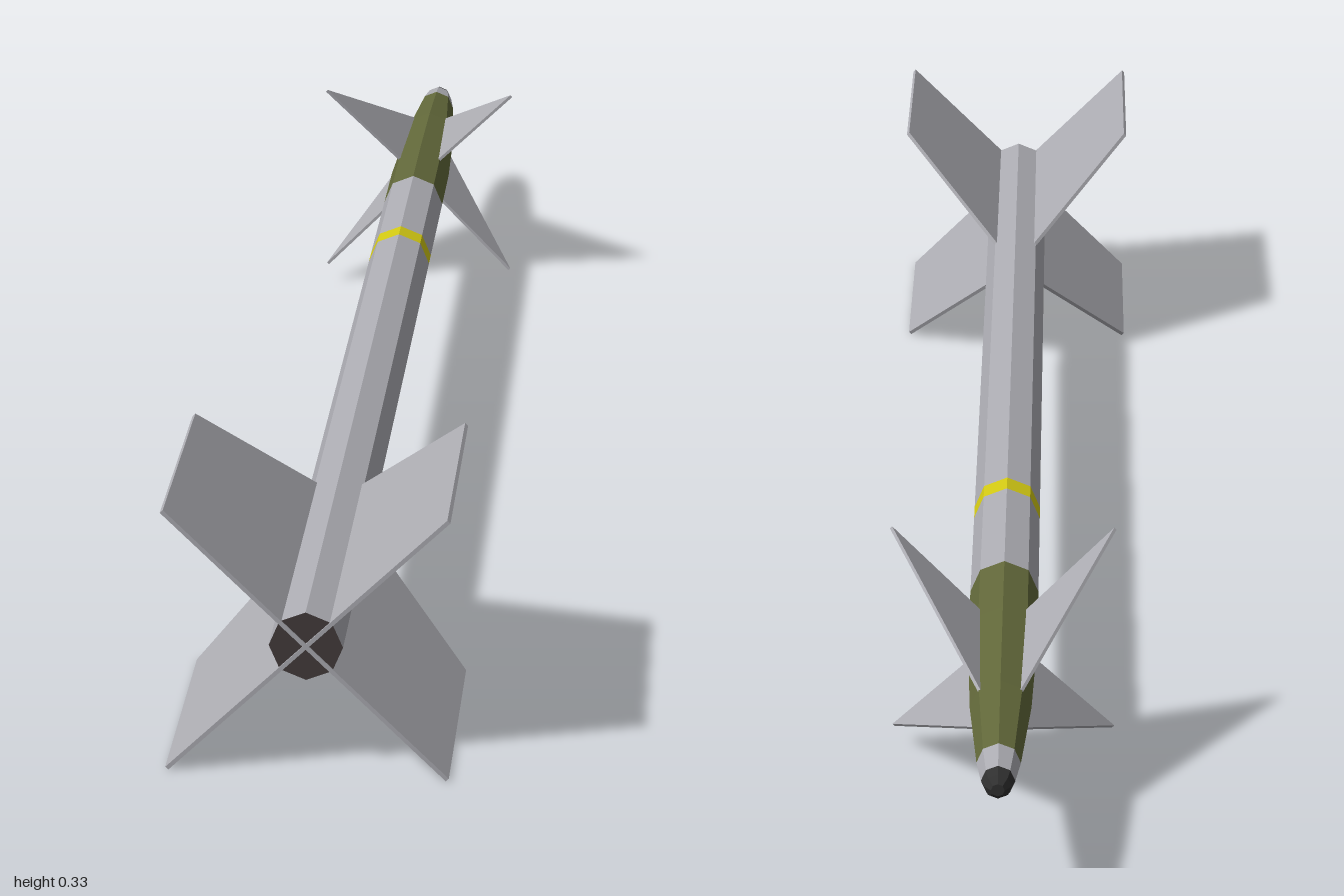
import * as THREE from 'three';

const AXIS_Y = 0.167; // height of the body axis
const RADIUS = 0.043;

const paint = (name, color) => {
  const m = new THREE.MeshStandardMaterial({ color, flatShading: true });
  m.name = name;
  return m;
};

export function createModel() {
  const grey = paint('light grey', 0xacacb2);
  const olive = paint('olive green', 0x62683a);
  const yellow = paint('band yellow', 0xd2c814);
  const dark = paint('exhaust dark', 0x433b3b);
  const black = paint('seeker black', 0x303030);

  const model = new THREE.Group();
  model.name = 'missile';
  model.position.y = AXIS_Y;

  // Eight-sided body section from [radius, z] pairs, running tail to nose
  const section = (name, material, profile) => {
    const points = profile.map(([r, z]) => new THREE.Vector2(r, -z));
    const geometry = new THREE.LatheGeometry(points, 8).rotateX(-Math.PI / 2);
    const mesh = new THREE.Mesh(geometry, material);
    mesh.name = name;
    model.add(mesh);
  };

  section('exhaustPlate', dark, [[0, 0.998], [RADIUS, 0.998]]);
  section('motorTube', grey, [[RADIUS, 0.998], [RADIUS, -0.245]]);
  section('yellowBand', yellow, [[RADIUS, -0.245], [RADIUS, -0.278]]);
  section('warheadTube', grey, [[RADIUS, -0.278], [RADIUS, -0.492]]);
  section('guidanceSection', olive,
    [[RADIUS, -0.492], [RADIUS, -0.62], [0.037, -0.8], [0.026, -0.935]]);
  section('noseCollar', grey, [[0.026, -0.935], [0.02, -0.978]]);
  section('seekerTip', black, [[0.02, -0.978], [0.016, -0.991], [0.008, -1], [0, -1]]);

  // Four thin fins in an X, outlined by [distance from axis, z] pairs
  const finSet = (name, outline, thickness) => {
    const shape = new THREE.Shape(outline.map(([r, z]) => new THREE.Vector2(r, -z)));
    const geometry = new THREE.ExtrudeGeometry(shape, { depth: thickness, bevelEnabled: false })
      .translate(0, 0, -thickness / 2)
      .rotateX(-Math.PI / 2);
    for (let i = 0; i < 4; i++) {
      const fin = new THREE.Mesh(geometry, grey);
      fin.name = name + (i + 1);
      fin.rotation.z = Math.PI / 4 + i * Math.PI / 2;
      model.add(fin);
    }
  };

  finSet('tailFin', [[0, 1], [0.232, 1], [0.232, 0.717], [0.04, 0.605], [0, 0.605]], 0.005);
  finSet('canard', [[0, -0.605], [0.04, -0.603], [0.195, -0.592], [0.036, -0.805], [0, -0.805]], 0.004);

  const root = new THREE.Group();
  root.name = 'model';
  root.add(model);
  return root;
}
